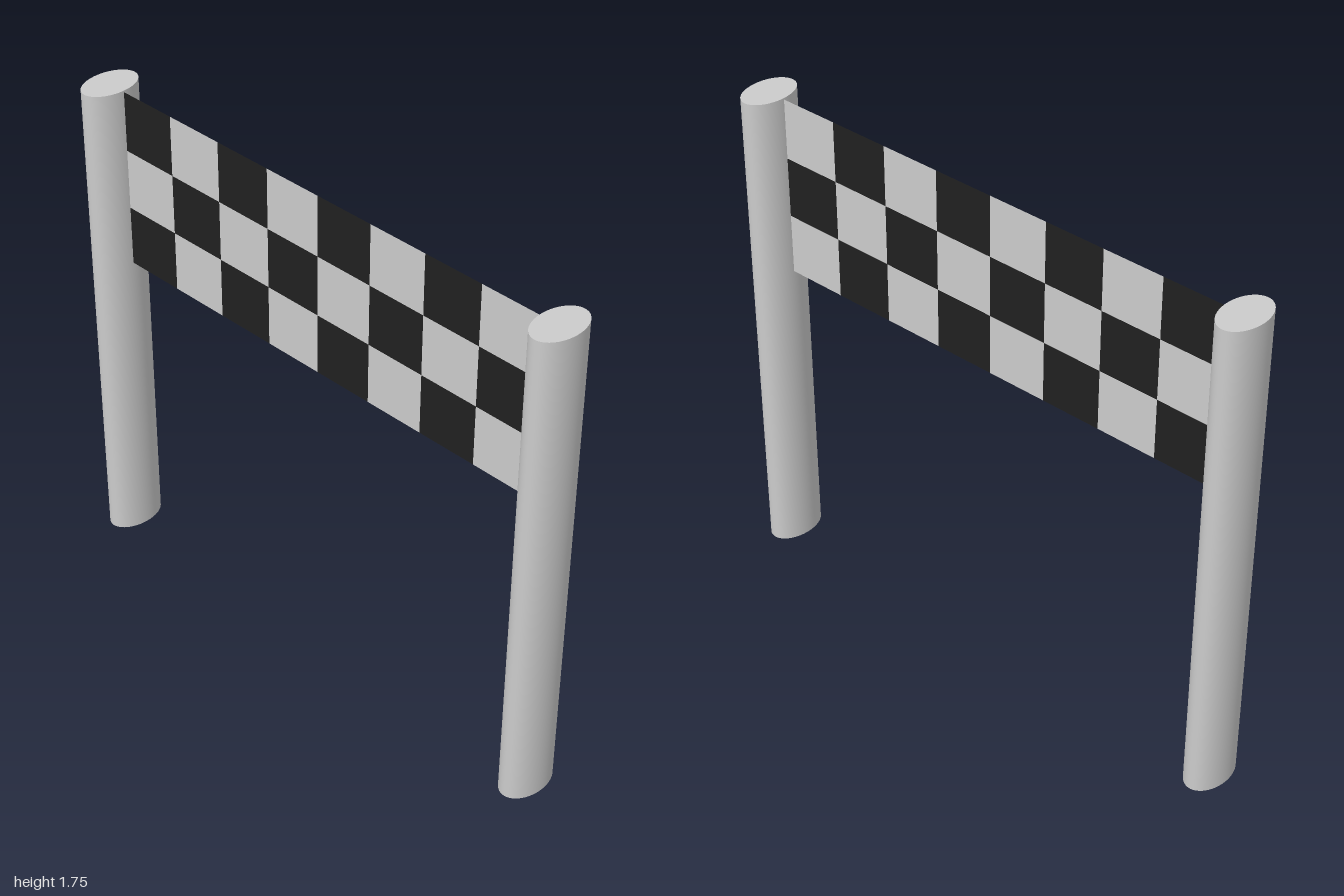
import * as THREE from 'three';
import { mergeGeometries } from 'three/addons/utils/BufferGeometryUtils.js';

const POST_HEIGHT = 1.75, POST_RX = 0.105, POST_RZ = 0.068;
const COLS = 8, ROWS = 3, BANNER_HALF = 0.865, BANNER_BOTTOM = 1.105, BANNER_TOP = 1.745;

export function createModel() {
  const model = new THREE.Group();
  model.name = 'finishGate';
  const grey = new THREE.MeshStandardMaterial({ color: 0xcccccc });

  // Two upright posts with an oval section
  const postGeometry = new THREE.CylinderGeometry(1, 1, POST_HEIGHT, 64);
  postGeometry.scale(POST_RX, 1, POST_RZ);
  for (const side of [1, -1]) {
    const post = new THREE.Mesh(postGeometry, grey);
    post.name = side > 0 ? 'frontPost' : 'backPost';
    post.position.set(0, POST_HEIGHT / 2, side * (1 - POST_RZ));
    model.add(post);
  }

  // Thin chequered banner between the posts, top left square light
  const w = 2 * BANNER_HALF / COLS, h = (BANNER_TOP - BANNER_BOTTOM) / ROWS;
  const squares = [[], []];
  for (let row = 0; row < ROWS; row++) {
    for (let col = 0; col < COLS; col++) {
      const square = new THREE.PlaneGeometry(w, h);
      square.rotateY(Math.PI / 2);
      square.translate(0, BANNER_TOP - (row + 0.5) * h, BANNER_HALF - (col + 0.5) * w);
      squares[(row + col) % 2].push(square);
    }
  }
  const banner = new THREE.Group();
  banner.name = 'banner';
  [['lightSquares', 0xcccccc], ['darkSquares', 0x202020]].forEach(([name, color], i) => {
    const material = new THREE.MeshStandardMaterial({ color, side: THREE.DoubleSide });
    const mesh = new THREE.Mesh(mergeGeometries(squares[i]), material);
    mesh.name = name;
    banner.add(mesh);
  });
  model.add(banner);
  return model;
}
